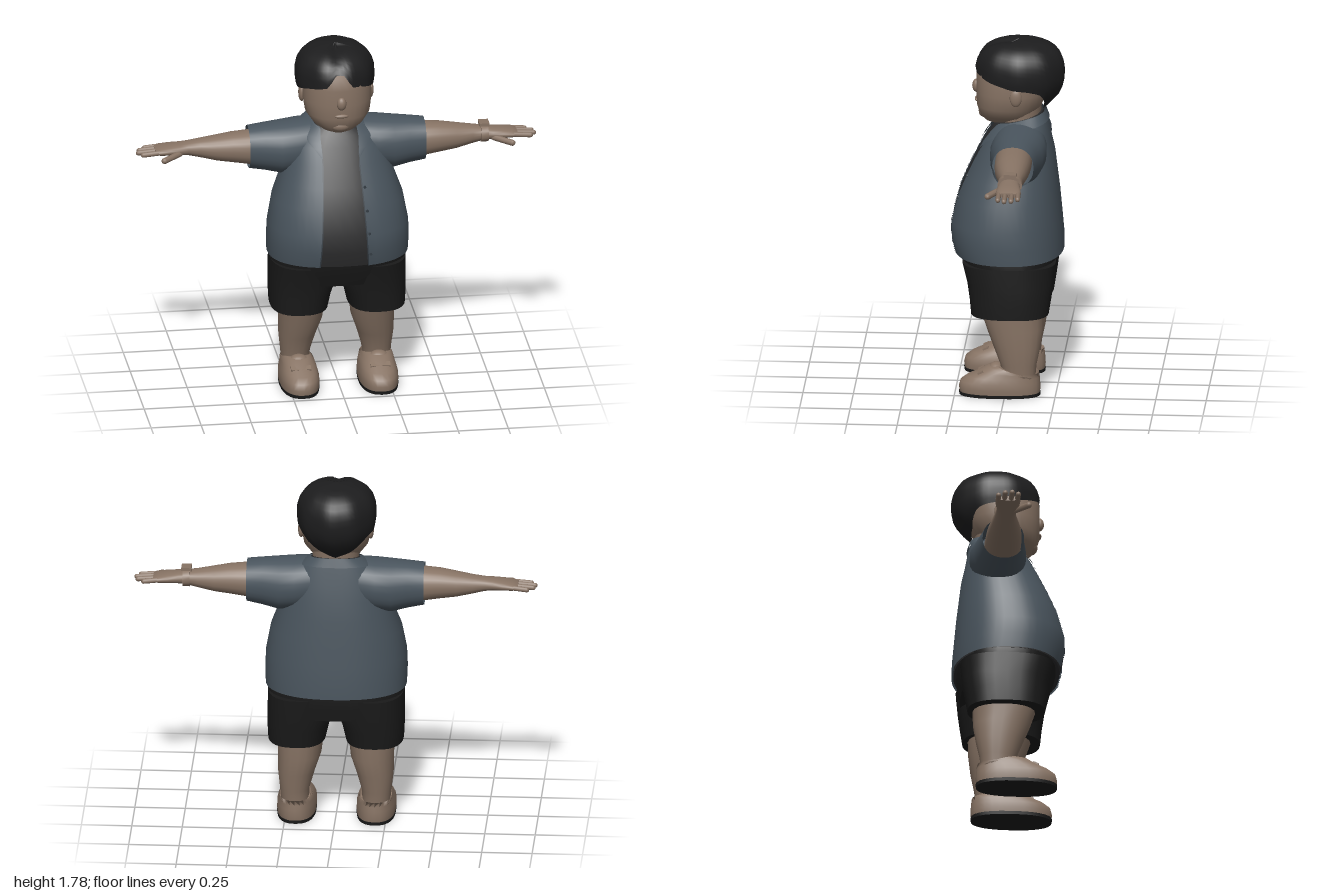
import * as THREE from 'three';

const paint = (name, color, side = THREE.FrontSide) => {
  const m = new THREE.MeshStandardMaterial({ color, side });
  m.name = name;
  return m;
};

// Table lookup with linear interpolation on the first column.
function at(rows, key) {
  let i = 0;
  while (i < rows.length - 2 && key > rows[i + 1][0]) i++;
  const a = rows[i], b = rows[i + 1];
  const k = THREE.MathUtils.clamp((key - a[0]) / (b[0] - a[0]), 0, 1);
  return a.map((v, j) => v + (b[j] - v) * k);
}

// Triangulates a grid of points; closed grids wrap round without a seam.
function skin(grid, closed, caps) {
  const pos = [], idx = [], w = grid[0].length;
  grid.forEach(r => r.forEach(p => pos.push(...p)));
  for (let i = 0; i < grid.length - 1; i++) {
    for (let j = 0; j < (closed ? w : w - 1); j++) {
      const a = i * w + j, b = i * w + (j + 1) % w;
      idx.push(a, b, a + w, b, b + w, a + w);
    }
  }
  if (caps) {
    [grid[0], grid[grid.length - 1]].forEach((ring, end) => {
      const s = pos.length / 3;
      ring.forEach(p => pos.push(...p));
      pos.push(...[0, 1, 2].map(k => ring.reduce((t, p) => t + p[k], 0) / w));
      for (let j = 0; j < w; j++) {
        const a = s + j, b = s + (j + 1) % w;
        idx.push(s + w, end ? a : b, end ? b : a);
      }
    });
  }
  const g = new THREE.BufferGeometry();
  g.setAttribute('position', new THREE.Float32BufferAttribute(pos, 3));
  g.setIndex(idx);
  g.computeVertexNormals();
  return g;
}

// Rows are [position, centre, half width, front z, back z, tilt] along y or x.
function loft(rows, { axis = 'y', n = 2.2, seg = 28, span, caps = !span } = {}) {
  const pw = v => Math.sign(v) * Math.abs(v) ** (2 / n);
  const grid = rows.map(row => {
    const [t, c, r, f, b, tilt = 0] = row;
    const [a0, a1] = span ? span(row) : [0, Math.PI * 2];
    return Array.from({ length: span ? seg + 1 : seg }, (_, j) => {
      const a = a0 + (a1 - a0) * j / seg;
      const u = r * pw(Math.sin(a)), z = (f + b) / 2 + (f - b) / 2 * pw(Math.cos(a));
      return axis === 'y' ? [c + u, t + tilt * z, z] : [t, c - u, z];
    });
  });
  return skin(grid, !span, caps);
}

function mirrored(g) {
  const m = g.clone().scale(-1, 1, 1), ix = m.index;
  for (let i = 0; i < ix.count; i += 3) {
    const a = ix.getX(i);
    ix.setX(i, ix.getX(i + 1));
    ix.setX(i + 1, a);
  }
  return m;
}

const ball = (x, y, z, a, b, c) => new THREE.SphereGeometry(1, 16, 12).scale(a, b, c).translate(x, y, z);
const slab = (w, h, d, rx, x, y, z) => new THREE.BoxGeometry(w, h, d).rotateX(rx).translate(x, y, z);

// Finger-like capsule from point a to point b.
function digit(a, b, r) {
  const p = new THREE.Vector3(...a), q = new THREE.Vector3(...b), d = q.clone().sub(p);
  const g = new THREE.CapsuleGeometry(r, d.length(), 4, 8);
  g.applyQuaternion(new THREE.Quaternion().setFromUnitVectors(new THREE.Vector3(0, 1, 0), d.normalize()));
  return g.translate(...p.add(q).multiplyScalar(0.5).toArray());
}

export function createModel() {
  const model = new THREE.Group();
  const skinMat = paint('skin', 0x877364);
  const shirtMat = paint('shirt blue grey', 0x49545d, THREE.DoubleSide);
  const trimMat = paint('shirt dark trim', 0x343c43, THREE.DoubleSide);
  const teeMat = paint('tee charcoal', 0x2b2b2c);
  const shortsMat = paint('shorts black', 0x1a1a1a);
  const hairMat = paint('hair black', 0x1d1d1e, THREE.DoubleSide);
  const put = (name, g, mat) => {
    const m = new THREE.Mesh(g, mat);
    m.name = name;
    model.add(m);
  };
  const pair = (name, g, mat) => {
    put(name + 'Left', g, mat);
    put(name + 'Right', mirrored(g), mat);
  };

  // Open shirt over a tee
  const N = 2.3;
  const body = [
    [0.705, 0, 0.35, 0.262, -0.28], [0.78, 0, 0.353, 0.28, -0.278], [0.87, 0, 0.349, 0.281, -0.27],
    [1.0, 0, 0.325, 0.246, -0.258], [1.1, 0, 0.288, 0.205, -0.246], [1.2, 0, 0.26, 0.156, -0.234],
    [1.28, 0, 0.235, 0.115, -0.216], [1.34, 0, 0.185, 0.085, -0.2, -0.15], [1.375, 0, 0.125, 0.062, -0.184, -0.24],
  ].map(r => [...r.slice(0, 5), r[5] || 0]);
  const inflate = (rows, d) => rows.map(([y, c, r, f, b, t]) => [y, c, r + d, f + d, b - d, t]);
  const gap = y => at([[0.7, 0.12], [1.2, 0.09], [1.34, 0.095], [1.38, 0.09]], y)[1];
  const angle = (x, r) => Math.asin(Math.min(1, x / r) ** (N / 2));
  put('shirt', loft(body, {
    n: N, seg: 44, span: r => { const a = angle(gap(r[0]), r[2]); return [a, Math.PI * 2 - a]; },
  }), shirtMat);
  put('tee', loft(inflate(body, -0.01), { n: N, seg: 40 }), teeMat);

  // Lapels, collar and front edges lie just above the shirt
  const lapelRows = inflate([1.24, 1.28, 1.31, 1.34, 1.375].map(y => at(body, y)), 0.008);
  const lapelWidth = y => at([[1.24, 0.004], [1.31, 0.06], [1.34, 0.075], [1.375, 0.03]], y)[1];
  pair('lapel', loft(lapelRows, {
    n: N, seg: 5, span: r => [angle(gap(r[0]), r[2]), angle(gap(r[0]) + lapelWidth(r[0]), r[2])],
  }), shirtMat);
  put('collar', loft(inflate([1.345, 1.375].map(y => at(body, y)), 0.008), {
    n: N, seg: 28, span: () => [1.1, Math.PI * 2 - 1.1],
  }), shirtMat);
  pair('frontEdge', loft(inflate(body.slice(0, 7), 0.002), {
    n: N, seg: 2, span: r => [angle(gap(r[0]) - 0.002, r[2]), angle(gap(r[0]) + 0.004, r[2])],
  }), trimMat);
  for (const y of [0.77, 0.88, 0.99, 1.1]) {
    const [, , r, f, b] = at(body, y), x = gap(y) + 0.015;
    const z = (f + b) / 2 + (f - b) / 2 * (1 - (x / r) ** N) ** (1 / N);
    put('button', new THREE.CylinderGeometry(0.007, 0.007, 0.008, 10).rotateX(Math.PI / 2).translate(x, y, z), trimMat);
  }

  // Sleeves
  pair('sleeve', loft([
    [0.115, 1.26, 0.125, 0.06, -0.2], [0.2, 1.25, 0.128, 0.075, -0.205], [0.28, 1.241, 0.13, 0.07, -0.19],
    [0.36, 1.247, 0.117, 0.056, -0.17], [0.44, 1.25, 0.105, 0.05, -0.156],
  ], { axis: 'x', caps: false }), shirtMat);
  put('sleevePatchFront', slab(0.022, 0.022, 0.008, -0.75, -0.295, 1.323, 0.026), skinMat);
  put('sleevePatchBack', slab(0.022, 0.022, 0.008, 0.75, 0.295, 1.323, -0.148), skinMat);

  // Arms, hands and watch
  pair('arm', loft([
    [0.34, 1.25, 0.088, 0.04, -0.142], [0.44, 1.25, 0.084, 0.038, -0.14], [0.52, 1.253, 0.074, 0.03, -0.135],
    [0.6, 1.252, 0.062, 0.014, -0.126], [0.68, 1.255, 0.046, -0.005, -0.115], [0.74, 1.258, 0.034, -0.01, -0.108],
    [0.78, 1.258, 0.03, -0.002, -0.11], [0.83, 1.257, 0.026, 0.002, -0.118], [0.88, 1.255, 0.021, 0.003, -0.122],
    [0.905, 1.253, 0.012, -0.004, -0.114],
  ], { axis: 'x', seg: 24 }), skinMat);
  [[-0.107, 0.962], [-0.077, 0.992], [-0.044, 1], [-0.013, 0.98]].forEach(([z, tip], i) =>
    pair('finger' + (i + 1), digit([0.87, 1.256, z], [tip - 0.013, 1.248, z * 1.03], 0.013), skinMat));
  pair('thumb', digit([0.785, 1.245, -0.015], [0.868, 1.235, 0.044], 0.016), skinMat);
  put('watchBand', loft([[0.722, 1.26, 0.046, 0.002, -0.12], [0.758, 1.26, 0.044, 0.002, -0.12]], { axis: 'x', seg: 24 }), skinMat);
  put('watchFace', slab(0.05, 0.016, 0.062, 0, 0.74, 1.307, -0.059), skinMat);

  // Shorts
  put('shortsSeat', loft([
    [0.575, 0, 0.325, 0.185, -0.238], [0.64, 0, 0.337, 0.212, -0.25], [0.72, 0, 0.338, 0.238, -0.258],
    [0.78, 0, 0.32, 0.24, -0.25],
  ], { n: 2.5, seg: 36 }), shortsMat);
  pair('shortsLeg', loft([
    [0.42, 0.193, 0.143, 0.17, -0.215], [0.5, 0.186, 0.154, 0.178, -0.228],
    [0.58, 0.172, 0.168, 0.19, -0.24], [0.68, 0.168, 0.17, 0.215, -0.25],
  ], { n: 2.5 }), shortsMat);

  // Legs and shoes
  pair('leg', loft([
    [0.1, 0.202, 0.07, 0.02, -0.15], [0.16, 0.203, 0.074, 0.025, -0.156], [0.25, 0.195, 0.092, 0.06, -0.175],
    [0.34, 0.18, 0.108, 0.095, -0.187], [0.44, 0.176, 0.116, 0.128, -0.19],
  ], { seg: 20 }), skinMat);
  pair('shoe', loft([
    [0.015, 0.197, 0.096, 0.226, -0.172], [0.04, 0.197, 0.098, 0.23, -0.175], [0.07, 0.197, 0.096, 0.222, -0.173],
    [0.095, 0.197, 0.089, 0.188, -0.171], [0.118, 0.198, 0.083, 0.135, -0.168],
    [0.128, 0.2, 0.08, 0.085, -0.164, 0.25], [0.142, 0.202, 0.076, 0.045, -0.16, 0.3],
  ], { n: 2.4 }), skinMat);
  pair('sole', loft([[0, 0.197, 0.096, 0.228, -0.174], [0.016, 0.197, 0.098, 0.23, -0.175]], { n: 2.4 }), shortsMat);
  pair('shoeStrap', slab(0.1, 0.012, 0.03, 0.42, 0.198, 0.118, 0.12), skinMat);
  pair('shoeTongue', ball(0.2, 0.13, 0.045, 0.05, 0.035, 0.04), skinMat);

  // Neck, head and face
  put('neck', loft([[1.28, 0, 0.115, 0.04, -0.165], [1.36, 0, 0.112, 0.045, -0.16], [1.46, 0, 0.12, 0.05, -0.17]]), skinMat);
  put('head', loft([
    [1.355, 0, 0.04, 0.085, 0], [1.37, 0, 0.085, 0.112, -0.08], [1.4, 0, 0.125, 0.138, -0.13],
    [1.45, 0, 0.16, 0.154, -0.17], [1.52, 0, 0.171, 0.156, -0.2], [1.6, 0, 0.17, 0.156, -0.21],
    [1.66, 0, 0.162, 0.148, -0.21], [1.72, 0, 0.12, 0.11, -0.17], [1.745, 0, 0.05, 0.03, -0.1],
  ], { seg: 32 }), skinMat);
  put('nose', ball(0, 1.535, 0.155, 0.024, 0.034, 0.022), skinMat);
  put('lips', ball(0, 1.468, 0.154, 0.034, 0.01, 0.01), skinMat);
  put('chin', ball(0, 1.405, 0.115, 0.05, 0.03, 0.03), skinMat);
  pair('ear', ball(0.172, 1.525, -0.05, 0.016, 0.045, 0.03), skinMat);

  // Hair: a cap whose lower edge follows the parting, temples and nape
  const edge = [[0, 1.7], [0.12, 1.69], [0.3, 1.62], [0.8, 1.6], [1.4, 1.568], [1.75, 1.56], [2.1, 1.54], [2.5, 1.46], [Math.PI, 1.42]];
  const bulge = [[1.42, 0.5], [1.46, 0.68], [1.5, 0.85], [1.55, 0.96], [1.6, 1], [1.66, 0.99], [1.7, 0.93], [1.735, 0.81],
    [1.76, 0.63], [1.775, 0.4], [1.781, 0]];
  const grid = Array.from({ length: 15 }, (_, i) => Array.from({ length: 56 }, (_, j) => {
    const a = j / 56 * Math.PI * 2, low = at(edge, Math.min(a, Math.PI * 2 - a))[1];
    const y = low + (1.781 - low) * Math.sin(i / 14 * Math.PI / 2);
    const r = at(bulge, y)[1] * (1 + 0.012 * Math.sin(a * 9));
    const x = 0.197 * r * Math.sin(a), z = -0.06 + 0.223 * r * Math.cos(a);
    const part = z > -0.05 ? 0.016 * Math.exp(-((x / 0.03) ** 2)) : 0;
    return [x - 0.006, y - part, z];
  }));
  put('hair', skin(grid, true, false), hairMat);

  return model;
}
